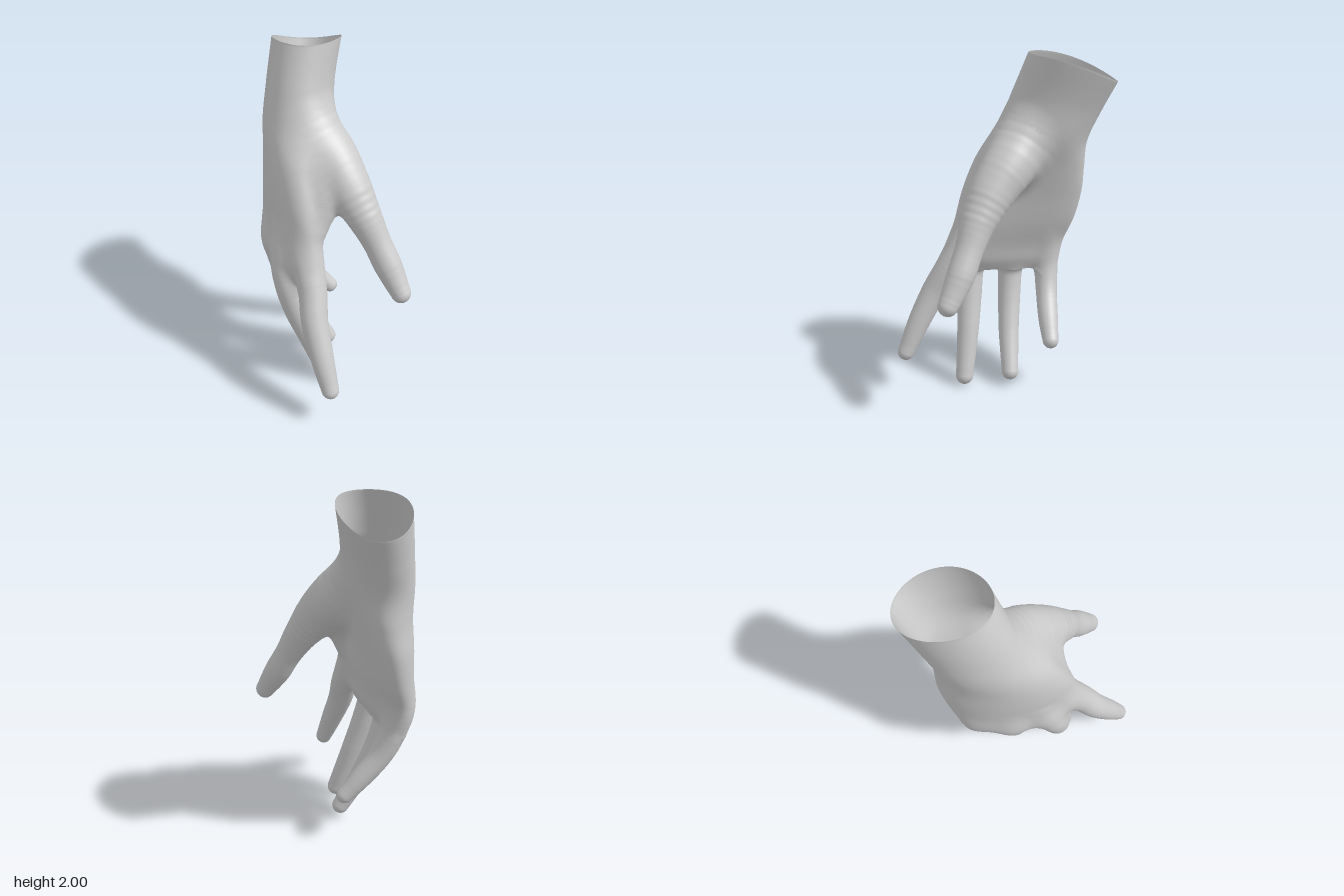
import * as THREE from 'three';

const material = new THREE.MeshStandardMaterial({ color: 0xcccccc, roughness: 0.8, side: THREE.DoubleSide });

// Wrist to knuckles: [y, x, z, half width, half thickness, yaw, tilt, arch]
const palmRows = [
  [1.925, -0.145, -0.39, 0.25, 0.19, 0, 0.32, 0],
  [1.74, -0.18, -0.31, 0.245, 0.188, 0, 0.3, 0],
  [1.56, -0.198, -0.235, 0.255, 0.195, 0.02, 0.22, 0],
  [1.38, -0.205, -0.165, 0.315, 0.175, 0.06, 0.12, 0.015],
  [1.2, -0.212, -0.12, 0.355, 0.16, 0.13, 0.05, 0.03],
  [1.02, -0.218, -0.08, 0.36, 0.145, 0.2, 0.04, 0.04],
  [0.87, -0.24, -0.04, 0.34, 0.132, 0.25, 0.06, 0.04],
  [0.77, -0.245, -0.035, 0.3, 0.105, 0.27, 0.08, 0.03],
  [0.7, -0.245, -0.035, 0.25, 0.055, 0.27, 0.08, 0.01]
];

// Smooth interpolation through rows of numbers, t from 0 to 1
function sample(rows, t) {
  const last = rows.length - 1;
  const s = Math.min(Math.max(t, 0), 1) * last;
  const i = Math.min(Math.floor(s), last - 1);
  const f = s - i;
  const row = k => rows[Math.min(Math.max(k, 0), last)];
  return rows[0].map((_, c) => {
    const [a, b, d, e] = [row(i - 1)[c], row(i)[c], row(i + 1)[c], row(i + 2)[c]];
    return b + 0.5 * f * (d - a + f * (2 * a - 5 * b + 4 * d - e + f * (3 * (b - d) + e - a)));
  });
}

// Digits: rows of [x, y, z, radius] from the palm to the tip, and how softly each joins
const digits = [];
function defineDigit(name, soft, ...rows) {
  const chain = Array.from({ length: 25 }, (_, i) => sample(rows, i / 24));
  digits.push({ name, soft, rows, chain });
}
defineDigit('thumb', 0.1,
  [-0.13, 1.57, -0.14, 0.12], [-0.035, 1.43, -0.05, 0.15], [0.065, 1.29, 0.06, 0.132],
  [0.16, 1.14, 0.145, 0.1], [0.235, 1, 0.2, 0.08], [0.3, 0.87, 0.25, 0.078], [0.372, 0.73, 0.318, 0.057]);
defineDigit('thumbWeb', 0.06,
  [-0.09, 1.36, 0.01, 0.1], [-0.065, 1.23, 0.09, 0.095], [-0.105, 1.08, 0.15, 0.078]);
defineDigit('indexFinger', 0.06,
  [-0.17, 1.06, 0.14, 0.08], [-0.145, 0.88, 0.242, 0.09], [-0.12, 0.74, 0.33, 0.081],
  [-0.11, 0.6, 0.415, 0.076], [-0.07, 0.42, 0.51, 0.066], [-0.025, 0.245, 0.59, 0.05]);
defineDigit('middleFinger', 0.06,
  [-0.25, 1.02, 0.09, 0.075], [-0.275, 0.85, 0.145, 0.085], [-0.265, 0.7, 0.187, 0.078],
  [-0.22, 0.52, 0.203, 0.075], [-0.15, 0.32, 0.215, 0.066], [-0.055, 0.055, 0.24, 0.053]);
defineDigit('ringFinger', 0.06,
  [-0.29, 1.02, -0.07, 0.075], [-0.325, 0.84, -0.06, 0.085], [-0.31, 0.68, -0.052, 0.076],
  [-0.26, 0.5, -0.045, 0.069], [-0.17, 0.3, -0.038, 0.062], [-0.04, 0.085, -0.04, 0.05]);
defineDigit('littleFinger', 0.06,
  [-0.29, 0.98, -0.23, 0.07], [-0.325, 0.81, -0.265, 0.08], [-0.295, 0.66, -0.274, 0.072],
  [-0.23, 0.53, -0.275, 0.065], [-0.12, 0.4, -0.278, 0.06], [-0.025, 0.3, -0.285, 0.048]);

// Height of the palm ring at t, for a point w across its width; the rim bows upward
function ringHeight(t, [y, , , width, , , tilt], w) {
  const bow = 0.035 * Math.max(0, 1 - 6 * t);
  return y + tilt * w * width + bow * Math.max(0, 1 - w * w);
}

// Signed distance to the arched oval of the palm at the height of p
function palmDistance(p) {
  const heightAt = t => {
    const row = sample(palmRows, t);
    return ringHeight(t, row, (p.z - row[2]) / row[3]);
  };
  let low = 0, high = 1;
  for (let i = 0; i < 14; i++) {
    const mid = (low + high) / 2;
    if (heightAt(mid) > p.y) low = mid; else high = mid;
  }
  const [, cx, cz, width, thick, yaw, , arch] = sample(palmRows, (low + high) / 2);
  const dz = p.z - cz, w = dz / width;
  const s = (p.x - cx - yaw * dz + arch * (1 - w * w)) / thick;
  const q = Math.hypot(w, s);
  const side = q * (q - 1) / (Math.hypot(w / width, s / thick) + 1e-6);
  return Math.max(side, heightAt(1) - p.y);
}

// Signed distance to a digit: a chain of tapering round segments
function digitDistance(p, chain) {
  let best = Infinity;
  for (let i = 0; i < chain.length - 1; i++) {
    const [ax, ay, az, ar] = chain[i], [bx, by, bz, br] = chain[i + 1];
    const dx = bx - ax, dy = by - ay, dz = bz - az;
    const along = ((p.x - ax) * dx + (p.y - ay) * dy + (p.z - az) * dz) / (dx * dx + dy * dy + dz * dz);
    const h = Math.min(Math.max(along, 0), 1);
    const gap = Math.hypot(p.x - ax - h * dx, p.y - ay - h * dy, p.z - az - h * dz);
    best = Math.min(best, gap - ar - h * (br - ar));
  }
  return best;
}

// Whole hand with soft joins between the parts
function handDistance(p) {
  return digits.reduce((d, { chain, soft }) => {
    const e = digitDistance(p, chain);
    const h = Math.max(soft - Math.abs(d - e), 0) / soft;
    return Math.min(d, e) - h * h * soft / 4;
  }, palmDistance(p));
}

function slope(p) {
  const e = 0.002;
  return new THREE.Vector3(...['x', 'y', 'z'].map(axis => {
    const a = p.clone(), b = p.clone();
    a[axis] += e;
    b[axis] -= e;
    return (handDistance(a) - handDistance(b)) / (2 * e);
  }));
}

// Skin over closed rings, eased onto the soft joins; faces buried in other parts are left out
function loft(name, rings) {
  const n = rings[0].length;
  const points = rings.flat();
  const buried = points.map(p => handDistance(p) < -0.08);
  const normals = points.map((p, i) => {
    for (let k = 0; k < 6 && !buried[i]; k++) {
      const d = handDistance(p);
      if (Math.abs(d) < 0.0005) break;
      const g = slope(p);
      p.addScaledVector(g, -THREE.MathUtils.clamp(d / (g.lengthSq() + 0.01), -0.03, 0.03));
    }
    return slope(p).normalize();
  });
  const index = [];
  const addFace = (...face) => { if (!face.some(i => buried[i])) index.push(...face); };
  for (let i = 0; i < rings.length - 1; i++) {
    for (let j = 0; j < n; j++) {
      const a = i * n + j, b = i * n + (j + 1) % n;
      addFace(a, b, a + n);
      addFace(b, b + n, a + n);
    }
  }
  const geometry = new THREE.BufferGeometry().setFromPoints(points);
  geometry.setAttribute('normal', new THREE.Float32BufferAttribute(normals.flatMap(v => v.toArray()), 3));
  geometry.setIndex(index);
  const mesh = new THREE.Mesh(geometry, material);
  mesh.name = name;
  return mesh;
}

// Round digit with domed ends
function makeDigit({ name, rows }) {
  const steps = 52, sides = 32, capSteps = 7, rings = [];
  const at = t => new THREE.Vector3(...sample(rows, t));
  const addRing = (t, slide, shrink) => {
    const r = sample(rows, t)[3];
    const tangent = at(t + 0.01).sub(at(t - 0.01)).normalize();
    const u = new THREE.Vector3().crossVectors(tangent, new THREE.Vector3(0, 0, 1)).normalize();
    const v = new THREE.Vector3().crossVectors(tangent, u);
    const centre = at(t).addScaledVector(tangent, slide * r);
    rings.push(Array.from({ length: sides }, (_, j) => {
      const a = j / sides * Math.PI * 2;
      return centre.clone().addScaledVector(u, Math.cos(a) * r * shrink).addScaledVector(v, Math.sin(a) * r * shrink);
    }));
  };
  const quarter = k => k / capSteps * Math.PI / 2;
  for (let k = capSteps; k > 0; k--) addRing(0, -Math.sin(quarter(k)), Math.cos(quarter(k)));
  for (let i = 0; i <= steps; i++) addRing(i / steps, 0, 1);
  for (let k = 1; k <= capSteps; k++) addRing(1, Math.sin(quarter(k)), Math.cos(quarter(k)));
  return loft(name, rings);
}

// Wrist and palm: open at the top, closed between the fingers
function makePalm() {
  const steps = 90, sides = 80, rings = [];
  const addRing = (t, shrink) => {
    const row = sample(palmRows, t);
    const [, x, z, width, thick, yaw, , arch] = row;
    rings.push(Array.from({ length: sides }, (_, j) => {
      const a = j / sides * Math.PI * 2;
      const w = Math.cos(a) * shrink, s = Math.sin(a) * shrink;
      return new THREE.Vector3(x - s * thick + yaw * w * width - arch * (1 - w * w), ringHeight(t, row, w), z + w * width);
    }));
  };
  for (let i = 0; i <= steps; i++) addRing(i / steps, 1);
  for (const shrink of [0.8, 0.6, 0.4, 0.2, 0.01]) addRing(1, shrink);
  return loft('wristAndPalm', rings);
}

export function createModel() {
  const hand = new THREE.Group();
  hand.name = 'hand';
  hand.add(makePalm(), ...digits.map(makeDigit));
  return hand;
}
